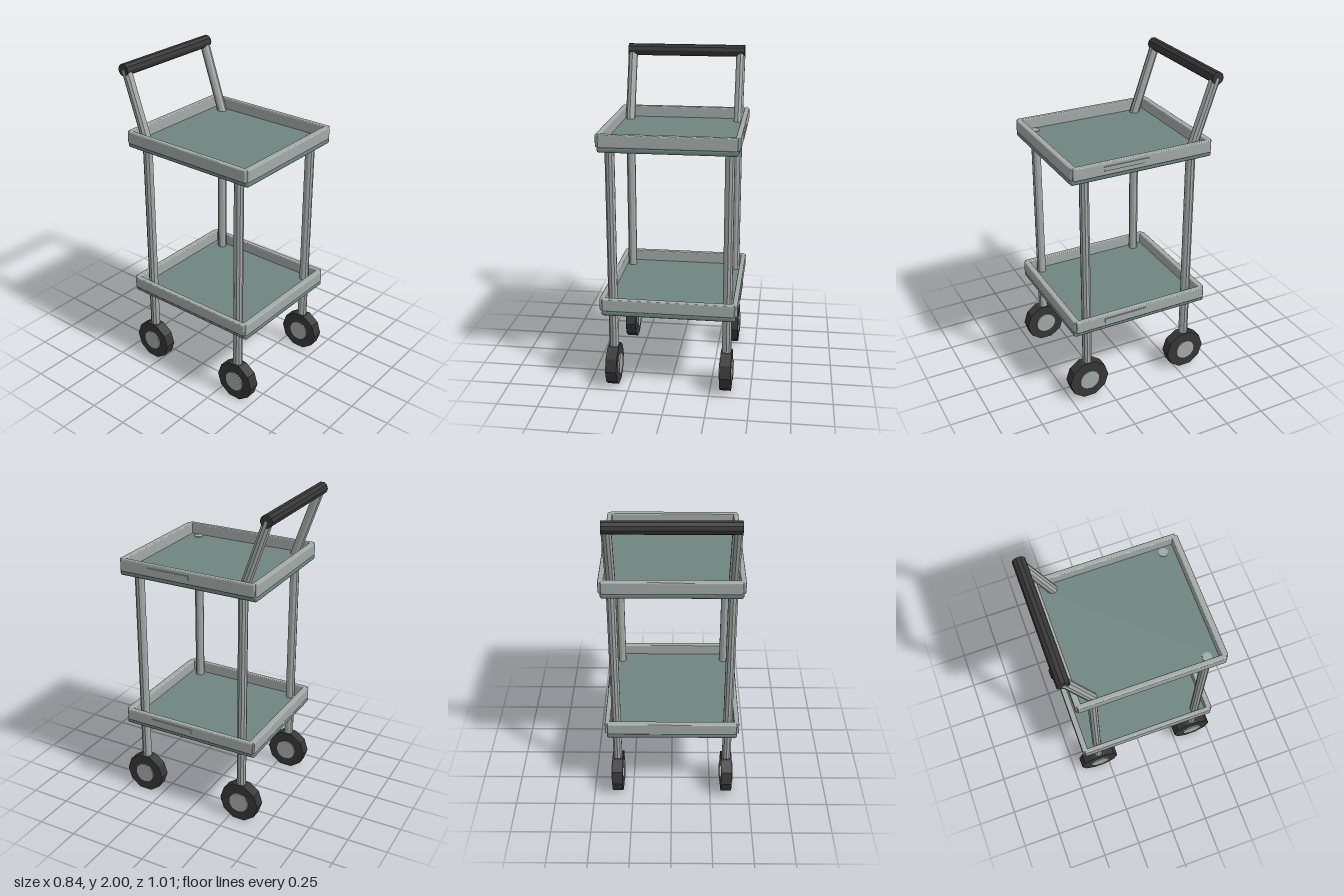
import * as THREE from 'three';
import { RoundedBoxGeometry } from 'three/addons/geometries/RoundedBoxGeometry.js';

export function createModel() {
  const cart = new THREE.Group();
  cart.name = 'servingCart';

  const material = (name, color) => {
    const m = new THREE.MeshStandardMaterial({ color, flatShading: true });
    m.name = name;
    return m;
  };
  const metal = material('paleMetal', 0xa2aaa7);
  const board = material('greyGreenBoard', 0x6f8580);
  const rubber = material('darkRubber', 0x363636);

  const add = (parent, name, geometry, mat, x, y, z) => {
    const mesh = new THREE.Mesh(geometry, mat);
    mesh.name = name;
    mesh.position.set(x, y, z);
    parent.add(mesh);
    return mesh;
  };
  const box = (w, h, d, r) => new RoundedBoxGeometry(w, h, d, 2, r);

  // Cylinder running between two points
  const rod = (parent, name, from, to, radius, sides, mat) => {
    const dir = to.clone().sub(from);
    const mid = from.clone().add(to).multiplyScalar(0.5);
    const mesh = add(parent, name, new THREE.CylinderGeometry(radius, radius, dir.length(), sides),
      mat, mid.x, mid.y, mid.z);
    mesh.quaternion.setFromUnitVectors(new THREE.Vector3(0, 1, 0), dir.normalize());
    return mesh;
  };

  const legX = 0.35, frontZ = 0.375, backZ = -0.318, midZ = 0.025;

  // Two trays: a board with a raised rim, and a thin strip on the left side
  for (const [name, y] of [['lowerTray', 0.488], ['upperTray', 1.498]]) {
    const tray = new THREE.Group();
    tray.name = name;
    tray.position.set(0, y, midZ);
    add(tray, 'trayBoard', box(0.81, 0.037, 0.908, 0.014), board, 0, 0.0185, 0);
    for (const s of [-1, 1]) {
      add(tray, 'endRim', box(0.8, 0.078, 0.038, 0.008), metal, 0, 0.068, s * 0.435);
      add(tray, 'sideRim', box(0.032, 0.078, 0.885, 0.008), metal, s * 0.4, 0.068, 0);
    }
    add(tray, 'sideStrip', new THREE.BoxGeometry(0.008, 0.026, 0.28), metal, 0.418, 0.072, 0.115);
    cart.add(tray);
  }

  // Legs and wheels
  const tyreShape = new THREE.CylinderGeometry(0.13, 0.13, 0.068, 10);
  const hubShape = new THREE.CylinderGeometry(0.066, 0.066, 0.084, 16);
  for (const x of [-legX, legX]) {
    for (const z of [frontZ, backZ]) {
      rod(cart, 'leg', new THREE.Vector3(x, 0.18, z), new THREE.Vector3(x, 1.54, z), 0.029, 10, metal);
      const wheel = new THREE.Group();
      wheel.name = 'wheel';
      wheel.position.set(x, 0.124, z);
      wheel.rotation.z = Math.PI / 2;
      // Turned so that a flat side rests on the ground
      add(wheel, 'tyre', tyreShape, rubber, 0, 0, 0);
      add(wheel, 'hub', hubShape, metal, 0, 0, 0);
      cart.add(wheel);
    }
  }

  // Sloping handle posts and grip
  const gripY = 1.962, gripZ = -0.463;
  for (const x of [-legX, legX]) {
    rod(cart, 'handlePost', new THREE.Vector3(x, 1.52, -0.312),
      new THREE.Vector3(x, gripY, gripZ), 0.03, 10, metal);
  }
  rod(cart, 'handleGrip', new THREE.Vector3(-0.377, gripY, gripZ),
    new THREE.Vector3(0.377, gripY, gripZ), 0.038, 10, rubber);

  // The side strip sits on one side only, so the body is nudged to centre the whole
  for (const part of cart.children) part.position.x -= 0.003;
  return cart;
}
